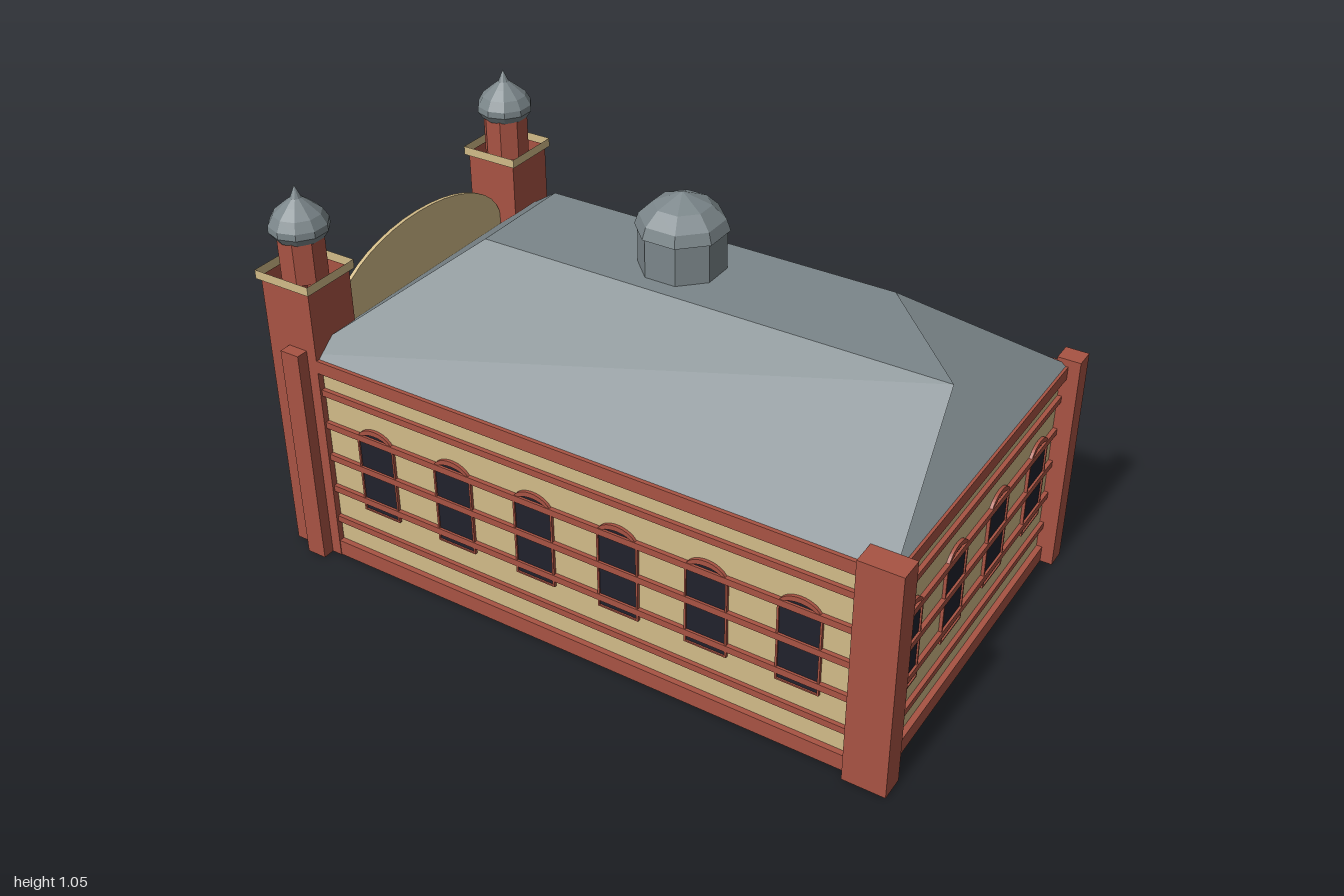
import * as THREE from 'three';

const mat = (name, color) => {
  const m = new THREE.MeshStandardMaterial({ color, side: THREE.DoubleSide });
  m.name = name;
  return m;
};

export function createModel() {
  const brick = mat('brickRed', 0xa85343);
  const sand = mat('sandStone', 0xd2bb88);
  const slate = mat('slate', 0x7b868a);
  const glass = mat('darkGlass', 0x20212c);
  const white = mat('paleStone', 0xcfcbc0);
  const wood = mat('greyBrown', 0x6b5e5b);

  const model = new THREE.Group();
  const building = new THREE.Group();
  building.name = 'building';
  building.rotation.y = 0.424;
  building.position.z = 0.02;
  model.add(building);

  const add = (parent, name, geo, material, x = 0, y = 0, z = 0) => {
    const m = new THREE.Mesh(geo, material);
    m.name = name;
    m.position.set(x, y, z);
    parent.add(m);
    return m;
  };
  const box = (parent, name, material, w, h, d, x, y, z) =>
    add(parent, name, new THREE.BoxGeometry(w, h, d), material, x, y, z);
  // Faceted geometry with one normal per face
  const flat = (geo) => {
    const g = geo.index ? geo.toNonIndexed() : geo;
    g.computeVertexNormals();
    return g;
  };
  // Faceted solid of revolution; faces line up with the walls
  const turned = (pts, sides) =>
    flat(new THREE.LatheGeometry(pts.map(([r, y]) => new THREE.Vector2(r, y)), sides, Math.PI / sides));
  // Vertical square tube without ends
  const squareTube = (w, h) =>
    flat(new THREE.CylinderGeometry(w * Math.SQRT1_2, w * Math.SQRT1_2, h, 4, 1, true, Math.PI / 4));

  // Upright opening with an arched head
  const archPath = (P, w, y0, y1, rise) => {
    const p = new P();
    p.moveTo(-w / 2, y0);
    p.lineTo(w / 2, y0);
    p.lineTo(w / 2, y1);
    p.absellipse(0, y1, w / 2, rise, 0, Math.PI, false, 0);
    p.lineTo(-w / 2, y0);
    return p;
  };
  const extrude = (shape, depth) =>
    new THREE.ExtrudeGeometry(shape, { depth, bevelEnabled: false, curveSegments: 10 });
  const archWindow = (parent, name, x, z, w, y0, y1, rise, jamb, head, frameMat, paneMat) => {
    const g = new THREE.Group();
    g.name = name;
    g.position.set(x, 0, z);
    parent.add(g);
    const frame = archPath(THREE.Shape, w + 2 * jamb, y0, y1, rise + head);
    frame.holes.push(archPath(THREE.Path, w, y0 + 0.004, y1, rise));
    add(g, 'frame', extrude(frame, 0.008), frameMat);
    add(g, 'pane', new THREE.ShapeGeometry(archPath(THREE.Shape, w, y0, y1, rise), 10), paneMat, 0, 0, 0.004);
  };

  // Four walls; each group has x along the wall and z pointing outwards
  const W = 0.465, L = 0.795;
  const makeWall = (name, half, dist, angle, windows) => {
    const g = new THREE.Group();
    g.name = name;
    g.rotation.y = angle;
    building.add(g);
    const len = half * 2;
    add(g, 'wallFace', new THREE.PlaneGeometry(len, 0.595), sand, 0, 0.2975, dist);
    box(g, 'plinth', brick, len + 0.03, 0.045, 0.015, 0, 0.0225, dist + 0.0075);
    box(g, 'cornice', brick, len + 0.03, 0.035, 0.03, 0, 0.5775, dist + 0.002);
    for (const y of [0.114, 0.21, 0.307, 0.404, 0.5])
      box(g, 'brickBand', brick, len, 0.018, 0.011, 0, y, dist + 0.0055);
    for (let i = 0; i < windows; i++)
      archWindow(g, 'wallWindow', (i - (windows - 1) / 2) * 0.237, dist + 0.001,
        0.102, 0.182, 0.395, 0.028, 0.005, 0.014, brick, glass);
    return g;
  };
  makeWall('frontWall', W, L, 0, 4);
  makeWall('leftWall', L, W, Math.PI / 2, 6);
  makeWall('rightWall', L, W, -Math.PI / 2, 6);
  const back = makeWall('entranceWall', W, L, Math.PI, 0);
  box(building, 'floor', brick, 2 * W, 0.01, 2 * L, 0, 0.105, 0);

  // Corner piers
  box(building, 'frontPier', brick, 0.055, 0.615, 0.06, 0.488, 0.3075, 0.812);
  box(building, 'frontPier', brick, 0.065, 0.62, 0.11, -0.472, 0.31, 0.786);
  for (const s of [-1, 1]) box(building, 'backPier', brick, 0.05, 0.615, 0.055, s * 0.489, 0.3075, -0.802);

  // Hipped roof with a flat top that reaches further at one front corner
  const e = 0.595, t = 0.856;
  const base = [[-0.472, e, -0.8], [0.472, e, -0.8], [0.472, e, 0.805], [-0.472, e, 0.805]];
  const top = [[-0.144, t, -0.471], [0.147, t, -0.471], [0.148, t, 0.484], [-0.14, t, 0.76]];
  const roofPoints = [...base, ...top].flat();
  const roof = new THREE.BufferGeometry();
  roof.setAttribute('position', new THREE.Float32BufferAttribute(roofPoints, 3));
  roof.setIndex([4, 7, 6, 4, 6, 5, 0, 4, 5, 0, 5, 1, 1, 5, 6, 1, 6, 2, 3, 2, 6, 3, 6, 7, 0, 3, 7, 0, 7, 4]);
  add(building, 'roof', flat(roof), slate);

  // Central lantern
  add(building, 'lanternDrum', turned([[0.107, 0.85], [0.107, 0.957]], 8), slate);
  add(building, 'lanternDome', turned([[0.107, 0.955], [0.114, 0.956], [0.104, 0.985], [0.07, 1.018], [0, 1.048]], 8), slate);

  // Entrance towers with onion domes
  for (const s of [-1, 1]) {
    const tower = new THREE.Group();
    tower.name = 'tower';
    tower.position.set(s * 0.408, 0, -0.82);
    building.add(tower);
    add(tower, 'shaft', squareTube(0.148, 0.79), brick, 0, 0.395, 0);
    add(tower, 'ledge', squareTube(0.166, 0.024), sand, 0, 0.795, 0);
    add(tower, 'turret', turned([[0.061, 0.78], [0.061, 0.895]], 8), brick);
    add(tower, 'onionDome', turned([[0.061, 0.888], [0.075, 0.908], [0.074, 0.925], [0.06, 0.95],
      [0.034, 0.972], [0.014, 0.988], [0, 1.02]], 10), slate);
    // Slit windows on the outer face
    for (const y of [0.17, 0.36, 0.55])
      archWindow(back, 'slitWindow', s * 0.408, 0.894, 0.025, y - 0.05, y + 0.03, 0.014, 0.009, 0.009, white, glass);
  }

  // Curved gable between the towers
  const gable = new THREE.Shape();
  gable.moveTo(-0.336, 0.59);
  gable.lineTo(0.336, 0.59);
  gable.lineTo(0.336, 0.61);
  gable.absellipse(0, 0.61, 0.336, 0.168, 0, Math.PI, false, 0);
  add(back, 'gable', extrude(gable, 0.01), sand, 0, 0, 0.8);

  // Horseshoe portal
  const portal = new THREE.Group();
  portal.name = 'portal';
  portal.position.z = L;
  back.add(portal);
  const cy = 0.365, R = 0.195, dip = 0.5;
  const panel = new THREE.Shape();
  panel.moveTo(-R * Math.cos(dip), 0);
  panel.lineTo(R * Math.cos(dip), 0);
  panel.absarc(0, cy, R, -dip, Math.PI + dip, false);
  add(portal, 'portalPanel', extrude(panel, 0.018), white);
  const ring = new THREE.Shape();
  ring.absarc(0, cy, 0.225, -dip, Math.PI + dip, false);
  ring.absarc(0, cy, 0.19, Math.PI + dip, -dip, true);
  add(portal, 'portalRing', extrude(ring, 0.027), brick);
  add(portal, 'roundWindow', new THREE.CircleGeometry(0.053, 16), glass, 0, 0.425, 0.021);
  for (let i = -2; i <= 2; i++)
    archWindow(portal, 'portalWindow', i * 0.064, 0.0185, 0.044, 0.235, 0.34, 0.016, 0.007, 0.006, brick, glass);
  for (let i = -1; i <= 1; i++)
    archWindow(portal, 'door', i * 0.108, 0.0185, 0.082, 0.02, 0.165, 0.02, 0.008, 0.008, brick, wood);

  // Entrance steps
  for (let i = 0; i < 4; i++)
    box(back, 'step', wood, 0.386, 0.01 * (i + 1), 0.0203, 0, 0.005 * (i + 1), 0.922 - i * 0.0203);

  return model;
}
